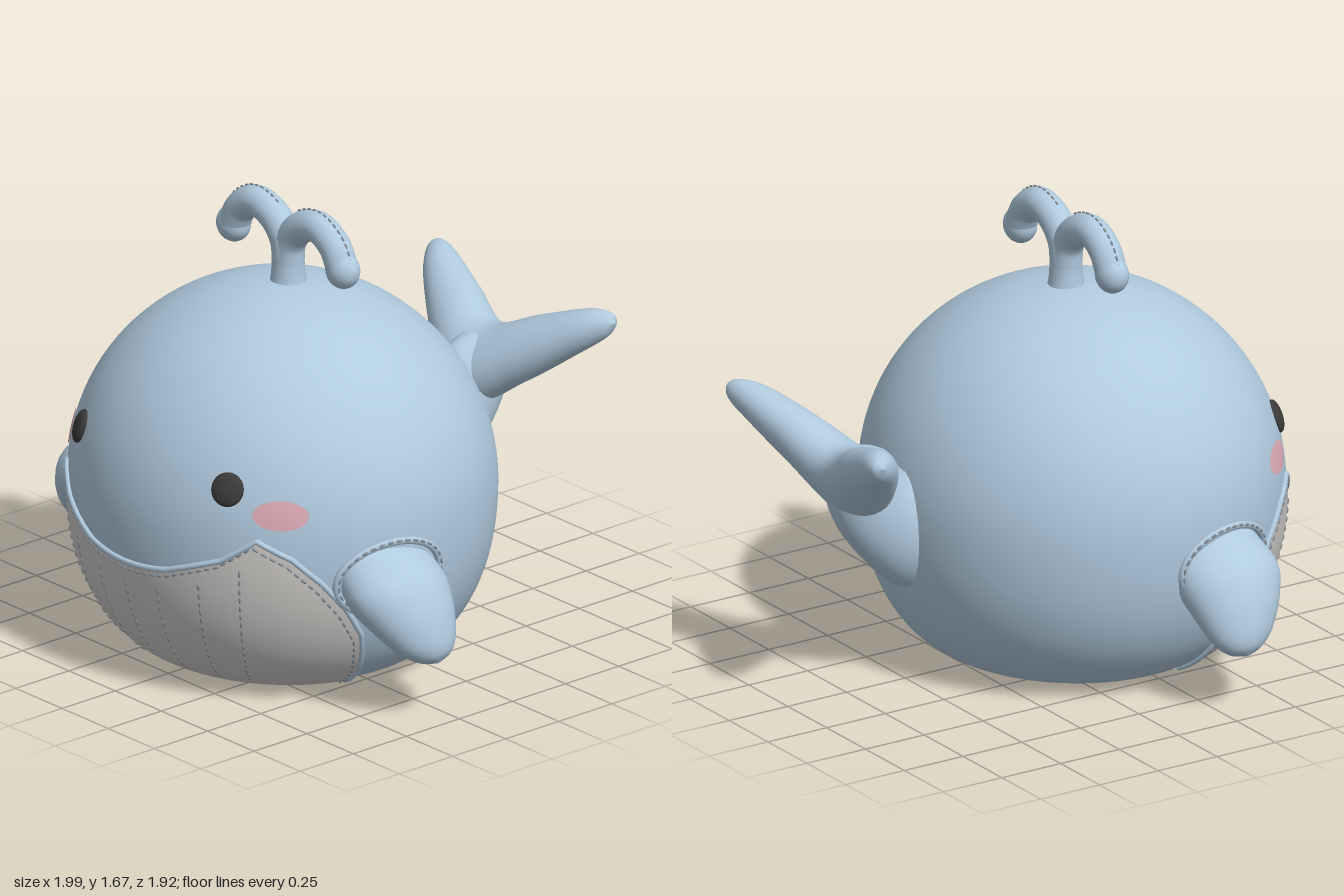
import * as THREE from 'three';
import { mergeGeometries } from 'three/addons/utils/BufferGeometryUtils.js';

const V = (x, y, z) => new THREE.Vector3(x, y, z);
const lerp = THREE.MathUtils.lerp;
const RAD = Math.PI / 180;
const MID = 0.62, CZ = 0.21, DEPTH = 0.955;

// Body radius at height y: domed above, plump and flat-bottomed below
function radius(y) {
  if (y >= MID) return 0.785 * Math.sqrt(Math.max(0, 1 - ((y - MID) / 0.745) ** 2));
  const t = Math.min(1, (MID - y) / MID);
  return 0.4 + 0.385 * Math.sqrt(1 - t ** 2.2);
}

// Point on the body at angle phi from the front and height y, lifted by off
function surf(phi, y, off = 0) {
  const e = 0.002, slope = (radius(y + e) - radius(y - e)) / (2 * e), n = Math.hypot(1, slope);
  const r = radius(y) + off / n;
  return V(Math.sin(phi) * r, Math.max(0, y - off * slope / n), CZ + DEPTH * Math.cos(phi) * r);
}

// Grid of points, columns wrapping if closed
function gridGeometry(cols, closed) {
  const n = cols[0].length, m = cols.length, pos = [], idx = [];
  cols.forEach(c => c.forEach(p => pos.push(p.x, p.y, p.z)));
  for (let i = 0; i < (closed ? m : m - 1); i++) for (let j = 0; j < n - 1; j++) {
    const a = i * n + j, b = ((i + 1) % m) * n + j;
    idx.push(a, b, a + 1, b, b + 1, a + 1);
  }
  const g = new THREE.BufferGeometry();
  g.setAttribute('position', new THREE.Float32BufferAttribute(pos, 3));
  g.setIndex(idx);
  g.computeVertexNormals();
  return g;
}

// Smooth loft through elliptical sections [centre, half-axis, half-axis]
function loft(rings, steps = 40, sides = 32) {
  const [c, u, v] = [0, 1, 2].map(k => new THREE.CatmullRomCurve3(rings.map(r => r[k]), false, 'catmullrom', 0.5));
  const travel = rings[1][0].clone().sub(rings[0][0]);
  const s = rings[1][1].clone().cross(rings[1][2]).dot(travel) < 0 ? -1 : 1;
  const cols = [];
  for (let i = 0; i < sides; i++) {
    const a = i / sides * Math.PI * 2, col = [];
    for (let j = 0; j <= steps; j++) {
      const t = j / steps;
      col.push(c.getPoint(t).addScaledVector(u.getPoint(t), Math.cos(a)).addScaledVector(v.getPoint(t), s * Math.sin(a)));
    }
    cols.push(col);
  }
  return gridGeometry(cols, true);
}

// Row of short thread dashes along a list of points
function stitches(points, closed = false, r = 0.005, pitch = 0.035) {
  const curve = new THREE.CatmullRomCurve3(points, closed);
  const count = Math.round(curve.getLength() / pitch), parts = [];
  for (let i = 0; i < count; i++) {
    const t = (i + 0.5) / count, p = curve.getPointAt(t);
    const q = new THREE.Quaternion().setFromUnitVectors(V(0, 1, 0), curve.getTangentAt(t));
    const g = new THREE.SphereGeometry(1, 6, 4);
    g.applyMatrix4(new THREE.Matrix4().compose(p, q, V(r, pitch * 0.38, r)));
    parts.push(g);
  }
  return mergeGeometries(parts);
}

export function createModel() {
  const model = new THREE.Group();
  const mat = (name, color) => Object.assign(new THREE.MeshStandardMaterial({ color }), { name });
  const blue = mat('softBlue', 0xb0cade), grey = mat('bellyGrey', 0xcfccc9);
  const dark = mat('eyeBlack', 0x3a3a3a), pink = mat('blushPink', 0xdcabb6), thread = mat('thread', 0x87909a);
  grey.side = THREE.DoubleSide;
  const add = (name, geo, material) => {
    const m = new THREE.Mesh(geo, material);
    m.name = name;
    model.add(m);
    return m;
  };

  // Body
  const profile = [new THREE.Vector2(0, 0), new THREE.Vector2(0.2, 0), new THREE.Vector2(0.37, 0)];
  for (let i = 0; i <= 30; i++) {
    const y = MID - MID * Math.cos(i / 30 * Math.PI / 2);
    profile.push(new THREE.Vector2(radius(y), y));
  }
  for (let i = 1; i <= 30; i++) {
    const y = MID + 0.745 * Math.sin(i / 30 * Math.PI / 2);
    profile.push(new THREE.Vector2(i === 30 ? 0 : radius(y), y));
  }
  add('body', new THREE.LatheGeometry(profile, 96).scale(1, 1, DEPTH).translate(0, 0, CZ), blue);

  // Belly patch: upper edge as [angle in degrees, height] pairs
  const edge = [[0, 0.49], [15, 0.51], [31, 0.585], [40.5, 0.67], [50, 0.605], [58, 0.51], [65, 0.4], [70.5, 0.28], [73, 0.14], [74, 0.02]];
  const edgeY = deg => {
    const k = Math.max(1, edge.findIndex(e => e[0] >= deg)), [a, b] = [edge[k - 1], edge[k]];
    let t = (deg - a[0]) / (b[0] - a[0]);
    if (k === 1) t *= t;
    return lerp(a[1], b[1], t);
  };
  const cols = [], rim = [], inner = [];
  const angles = [];
  for (let i = -9; i < 9; i++) for (let j = 0; j < 6; j++) {
    const at = k => Math.sign(k) * edge[Math.abs(k)][0];
    angles.push(lerp(at(i), at(i + 1), j / 6));
  }
  angles.push(74);
  for (const deg of angles) {
    const top = edgeY(Math.abs(deg)), phi = deg * RAD, col = [];
    const a0 = Math.acos(1 - 0.004 / MID), a1 = Math.acos(1 - top / MID);
    for (let j = 0; j <= 28; j++) col.push(surf(phi, MID - MID * Math.cos(lerp(a0, a1, j / 28)), 0.008));
    cols.push(col);
    rim.push(surf(phi, top, 0.004));
    inner.push(surf(phi * 0.97, Math.max(0.02, top - 0.025), 0.009));
  }
  add('belly', gridGeometry(cols, false), grey);
  add('bellyPiping', new THREE.TubeGeometry(new THREE.CatmullRomCurve3(rim), 200, 0.011, 8), blue);
  add('bellyEdgeStitches', stitches(inner), thread);

  // Stitched pleats down the belly
  for (const deg of [-36, -24.5, -11.5, 0, 11.5, 24.5, 36]) {
    const pts = [], top = edgeY(Math.abs(deg)) - 0.07;
    for (let i = 0; i <= 10; i++) pts.push(surf(deg * RAD, lerp(top, 0.06, i / 10), 0.008));
    add('bellyPleat', stitches(pts), thread);
  }

  for (const s of [1, -1]) {
    const side = s > 0 ? 'left' : 'right';

    // Eye
    const p = surf(s * 32 * RAD, 0.845), normal = surf(s * 32 * RAD, 0.845, 0.1).sub(p).normalize();
    const eye = add(side + 'Eye', new THREE.SphereGeometry(1, 24, 16).scale(0.06, 0.062, 0.024), dark);
    eye.position.copy(p);
    eye.quaternion.setFromUnitVectors(V(0, 0, 1), normal);

    // Blush spot following the cheek
    const spokes = [];
    for (let i = 0; i < 32; i++) {
      const a = -i / 32 * Math.PI * 2, col = [];
      for (let j = 0; j <= 4; j++) {
        const r = j / 4;
        col.push(surf(s * 47 * RAD + 0.134 * r * Math.cos(a), 0.765 + 0.053 * r * Math.sin(a), 0.005));
      }
      spokes.push(col);
    }
    pink.side = THREE.DoubleSide;
    add(side + 'Blush', gridGeometry(spokes, true), pink);

    // Flipper
    const fin = (x, y, z, a, b) => [V(s * x, y, z), V(s * 0.8 * a, 0.6 * a, 0), V(0, 0, b)];
    add(side + 'Flipper', loft([
      fin(0.66, 0.55, 0.35, 0.12, 0.18), fin(0.78, 0.455, 0.355, 0.14, 0.2), fin(0.86, 0.37, 0.345, 0.12, 0.17),
      fin(0.92, 0.285, 0.33, 0.085, 0.12), fin(0.953, 0.24, 0.32, 0.048, 0.065), fin(0.967, 0.222, 0.32, 0.002, 0.002),
    ]), blue);
    const seam = [];
    for (let i = 0; i < 24; i++) {
      const a = i / 24 * Math.PI * 2, y = 0.5 + 0.14 * Math.sin(a), z = 0.36 + 0.2 * Math.cos(a);
      seam.push(surf(s * Math.acos((z - CZ) / (DEPTH * radius(y))), y, 0.008));
    }
    add(side + 'FlipperSeam', new THREE.TubeGeometry(new THREE.CatmullRomCurve3(seam, true), 64, 0.014, 8, true), blue);
    add(side + 'FlipperStitches', stitches(seam.map(q => q.clone().add(V(s * 0.013, 0.004, 0))), true), thread);

    // Curling arm of the spout
    const path = [[0, 1.42], [0.012, 1.51], [0.07, 1.58], [0.165, 1.61], [0.25, 1.565], [0.293, 1.49]].map(([x, y]) => V(s * x, y, 0.185));
    const curve = new THREE.CatmullRomCurve3(path);
    add(side + 'SpoutArm', new THREE.TubeGeometry(curve, 40, 0.058, 20), blue);
    const tip = add(side + 'SpoutTip', new THREE.SphereGeometry(0.068, 24, 16).scale(1, 1, 0.86), blue);
    tip.position.set(s * 0.295, 1.487, 0.185);
    const ridge = [];
    for (let i = 0; i <= 12; i++) {
      const t = lerp(0.42, 1, i / 12), d = curve.getTangent(t);
      ridge.push(curve.getPoint(t).add(V(-s * d.y, s * d.x, 0).multiplyScalar(s * s * (s > 0 ? 0.06 : -0.06) * s)));
    }
    add(side + 'SpoutStitches', stitches(ridge, false, 0.004, 0.028), thread);
  }

  // Spout stem
  const stem = [[0.072, 1.33], [0.062, 1.38], [0.058, 1.44], [0.06, 1.52], [0.04, 1.57], [0, 1.585]].map(q => new THREE.Vector2(...q));
  add('spoutStem', new THREE.LatheGeometry(stem, 28).translate(0, 0, 0.185), blue);

  // Tail stalk, rising from the back
  const stalk = (y, z, w, h, dy, dz) => [V(0, y, z), V(w, 0, 0), V(0, h * dy, h * dz)];
  add('tailStalk', loft([
    stalk(0.56, -0.4, 0.15, 0.22, 1, 0), stalk(0.59, -0.54, 0.13, 0.215, 0.99, 0.1), stalk(0.745, -0.675, 0.105, 0.17, 0.86, 0.51),
    stalk(0.85, -0.76, 0.09, 0.1, 0.75, 0.66), stalk(0.89, -0.79, 0.002, 0.002, 0.7, 0.7),
  ]), blue);

  // Tail flukes, one sweep from tip to tip
  const half = [[0.495, 1.045, -0.92, 0.002, 0.002], [0.465, 1.032, -0.908, 0.05, 0.042], [0.38, 0.995, -0.865, 0.092, 0.072],
    [0.2, 0.895, -0.785, 0.14, 0.1]];
  const fluke = ([x, y, z, a, b]) => [V(x, y, z), V(0, 0.7 * a, -0.7 * a), V(0, 0.7 * b, 0.7 * b)];
  add('tailFlukes', loft([
    ...half.map(([x, ...r]) => fluke([-x, ...r])), fluke([0, 0.8, -0.72, 0.165, 0.12]), ...[...half].reverse().map(fluke),
  ], 80), blue);

  return model;
}
